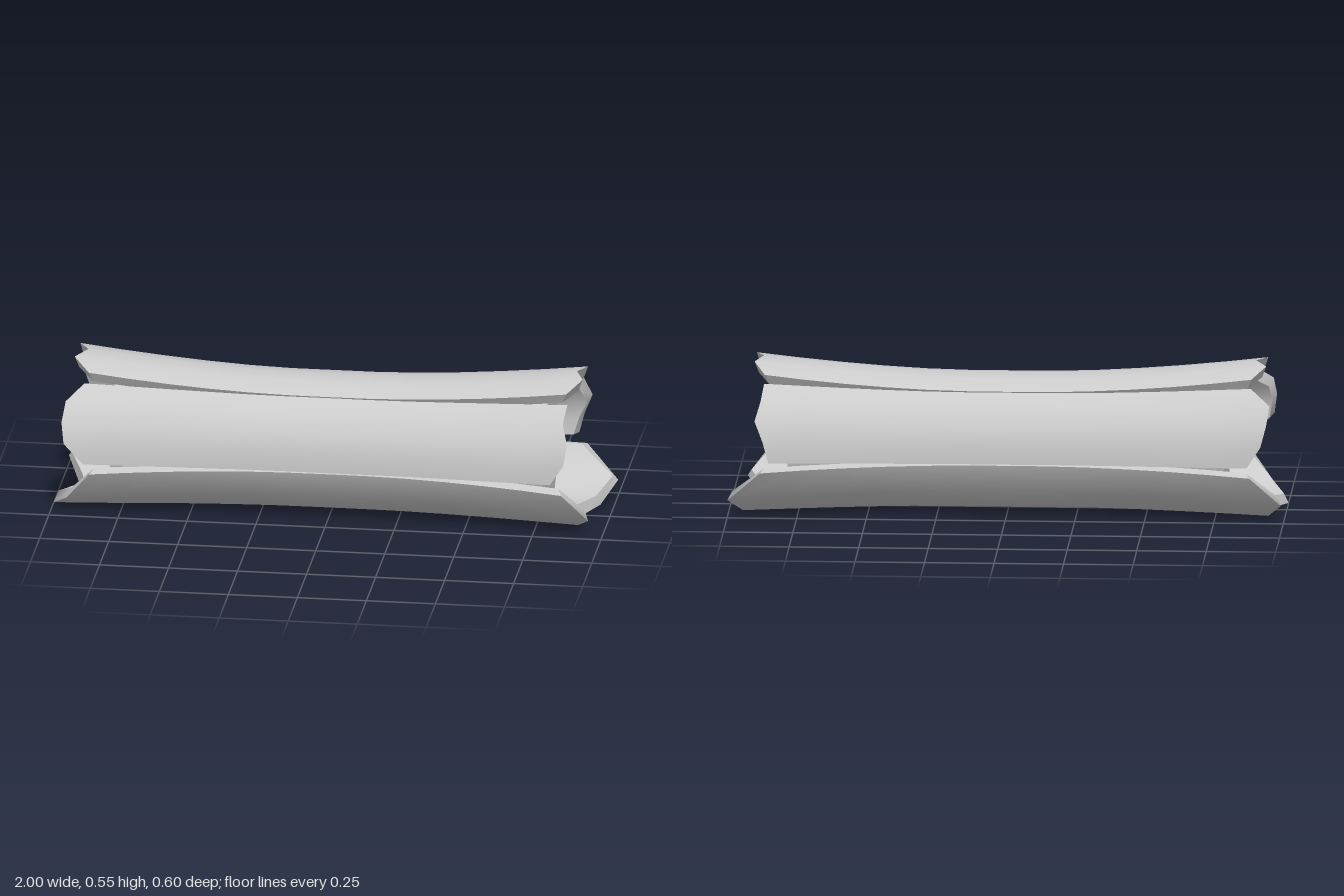
import * as THREE from 'three';

const CY = 0.25;            // height of the log axis
const MID_R = 0.248;        // outer bark radius at mid length
const THICK = 0.042;        // bark thickness
const rad = THREE.MathUtils.degToRad;

// Outward flare of the bark towards both ends, weaker underneath
function flare(x, angle) {
  const t = THREE.MathUtils.clamp((Math.abs(x) - 0.15) / 0.72, 0, 1.1);
  const under = Math.cos(angle) < 0 ? Math.abs(Math.sin(angle)) : 1;
  return 0.05 * Math.pow(t, 1.6) * under;
}

// Curved bark plank: a box bent around the log axis (angle 0 is up, 90 is +z).
// left and right hold the jagged end positions from one long edge to the other.
function barkStrip(name, from, to, shrink, left, right, material) {
  const n = left.length - 1;
  const geo = new THREE.BoxGeometry(2, 1, 1, 12, 1, n);
  const pos = geo.attributes.position;
  for (let i = 0; i < pos.count; i++) {
    const u = (pos.getX(i) + 1) / 2;
    const depth = 0.5 - pos.getY(i);
    const k = Math.round((pos.getZ(i) + 0.5) * n);
    const inset = depth * 0.015;
    const x = THREE.MathUtils.lerp(-left[k] + inset, right[k] - inset, u);
    // the long edges draw back a little where the strip flares
    const pull = shrink * Math.pow(Math.min(1, Math.abs(x) / 0.9), 2);
    const a = rad(THREE.MathUtils.lerp(from + pull, to - pull, k / n));
    const r = MID_R + flare(x, a) - depth * THICK;
    pos.setXYZ(i, x, CY + r * Math.cos(a), r * Math.sin(a));
  }
  geo.computeVertexNormals();
  const mesh = new THREE.Mesh(geo, material);
  mesh.name = name;
  return mesh;
}

export function createModel() {
  const group = new THREE.Group();
  group.name = 'log';
  const material = new THREE.MeshStandardMaterial({ color: 0xcccccc });

  // Solid wood, recessed inside the bark
  const coreGeo = new THREE.CylinderGeometry(0.218, 0.218, 1.57, 18);
  coreGeo.rotateZ(Math.PI / 2);
  const core = new THREE.Mesh(coreGeo, material);
  core.name = 'woodCore';
  core.position.y = CY;
  group.add(core);

  // Four bark strips with ragged ends
  group.add(
    barkStrip('topBark', -35, 33, 5,
      [0.88, 0.93, 0.89, 0.93, 0.87], [0.87, 0.91, 0.88, 0.91, 0.86], material),
    barkStrip('frontBark', 34, 100, 4,
      [0.88, 0.94, 0.95, 0.94, 0.87], [0.87, 0.86, 0.88, 0.87, 0.82], material),
    barkStrip('backBark', -100, -36, 3,
      [0.87, 0.92, 0.94, 0.95, 0.88], [0.85, 0.87, 0.9, 0.88, 0.87], material),
    barkStrip('bottomBark', 101, 259, 4,
      [0.85, 0.94, 1, 0.92, 0.94, 0.99, 0.88],
      [0.86, 0.95, 0.9, 0.9, 0.95, 1, 0.88], material),
  );
  return group;
}
